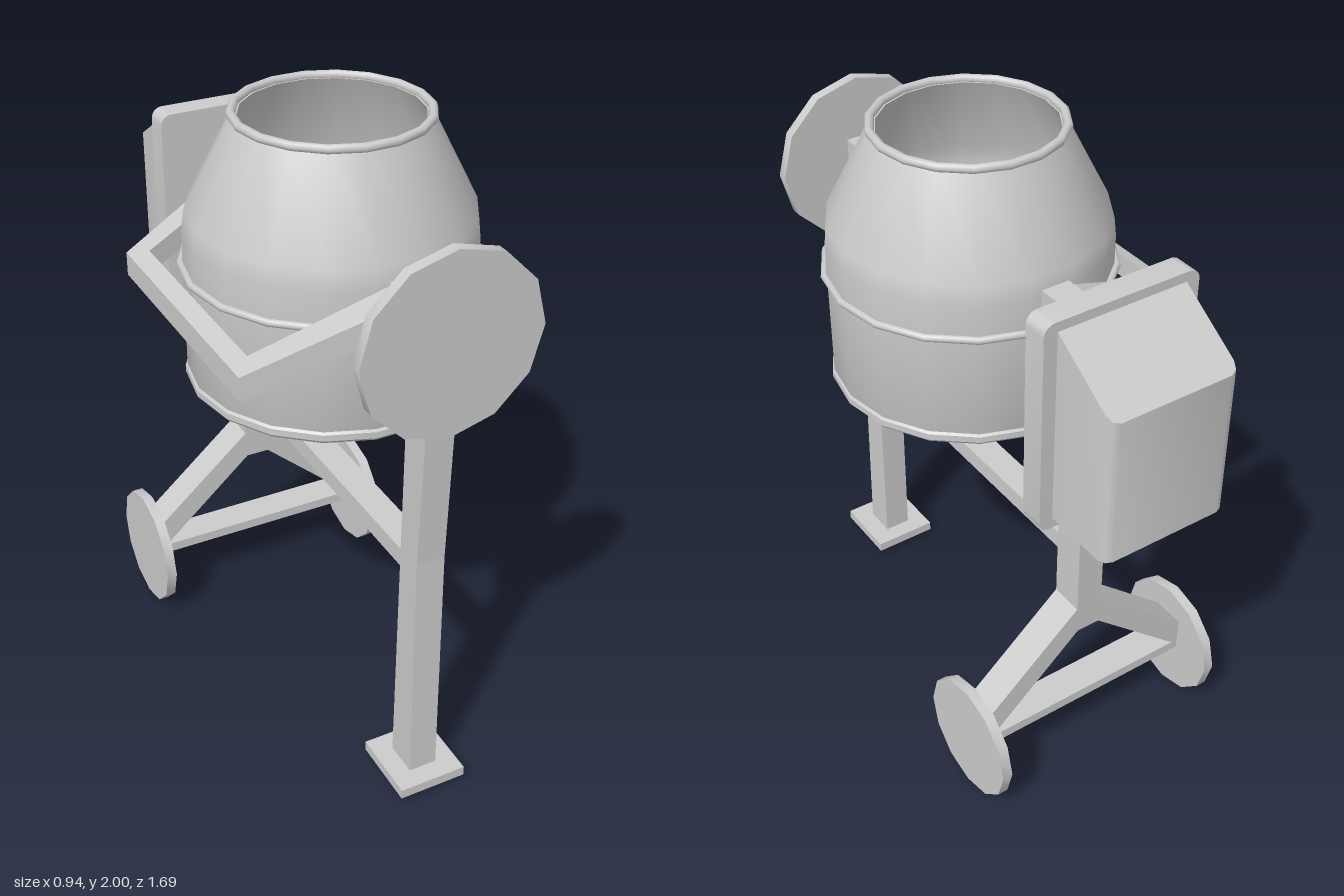
import * as THREE from 'three';
import { toCreasedNormals } from 'three/addons/utils/BufferGeometryUtils.js';

const CX = 0.01; // centre line of the frame

export function createModel() {
  const model = new THREE.Group();
  const material = new THREE.MeshStandardMaterial({ color: 0xcccccc });

  function add(name, geometry, x = 0, y = 0, z = 0) {
    const mesh = new THREE.Mesh(geometry, material);
    mesh.name = name;
    mesh.position.set(x, y, z);
    model.add(mesh);
    return mesh;
  }
  // Box given by its limits on each axis
  function box(name, x0, x1, y0, y1, z0, z1) {
    return add(name, new THREE.BoxGeometry(x1 - x0, y1 - y0, z1 - z0),
      (x0 + x1) / 2, (y0 + y1) / 2, (z0 + z1) / 2);
  }
  const points = (list) => list.map(([a, b]) => new THREE.Vector2(a, b));
  function extrude(list, depth, hole) {
    const shape = new THREE.Shape(points(list));
    if (hole) shape.holes.push(new THREE.Path(points(hole)));
    return new THREE.ExtrudeGeometry(shape, { depth, bevelEnabled: false });
  }
  // Move every vertex's y by a rule
  function moveY(geometry, rule) {
    const p = geometry.attributes.position;
    for (let i = 0; i < p.count; i++) p.setY(i, rule(p.getX(i), p.getY(i), p.getZ(i)));
    geometry.computeVertexNormals();
    return geometry;
  }

  // Hollow drum: outer wall up, over the lip, inner wall down to the floor
  const drumX = 0.015, drumZ = 0.123;
  const lathe = (list) => toCreasedNormals(
    new THREE.LatheGeometry(points(list), 18, Math.PI / 2), 0.6);
  add('drum', lathe([
    [0, 1.16], [0.425, 1.16], [0.435, 1.18], [0.435, 1.64], [0.428, 1.7],
    [0.285, 1.98], [0.268, 1.98], [0.41, 1.7], [0.415, 1.64], [0.415, 1.19], [0, 1.19],
  ]), drumX, 0, drumZ);
  add('drumBottomBand', lathe([
    [0.42, 1.16], [0.433, 1.16], [0.441, 1.17], [0.441, 1.19], [0.433, 1.2], [0.42, 1.2],
  ]), drumX, 0, drumZ);
  for (const [name, radius, tube, y] of [
    ['drumMiddleBand', 0.442, 0.012, 1.535], ['drumRim', 0.285, 0.014, 1.986]]) {
    const ring = new THREE.TorusGeometry(radius, tube, 8, 18);
    ring.rotateX(Math.PI / 2);
    add(name, ring, drumX, y, drumZ);
  }

  // Front leg, slightly waisted on its outer face, with foot plate
  const leg = extrude([
    [0.67, 0.05], [0.78, 0.05], [0.762, 0.85], [0.785, 1.66], [0.67, 1.66],
  ], 0.092);
  leg.rotateY(-Math.PI / 2);
  add('frontLeg', leg, CX + 0.046, 0, 0);
  box('footPlate', -0.1, 0.122, 0.02, 0.053, 0.61, 0.843);

  // Rear post, cross bar and drum arms
  const x0 = CX - 0.046, x1 = CX + 0.046;
  box('rearPost', x0, x1, 0.6, 1.66, -0.526, -0.415);
  box('crossBar', x0, x1, 0.785, 0.845, -0.415, 0.67);
  box('frontDrumArm', x0, x1, 1.585, 1.66, 0.555, 0.67);
  box('rearDrumArm', x0, x1, 1.585, 1.66, -0.415, -0.305);

  // A-shaped axle frame
  add('axleFrame', extrude(
    [[-0.046, 0.605], [-0.39, 0.305], [-0.39, 0.188], [0.39, 0.188], [0.39, 0.305], [0.046, 0.605]],
    0.111,
    [[-0.04, 0.51], [0.04, 0.51], [0.365, 0.222], [-0.365, 0.222]],
  ), CX, 0, -0.526);

  // Wheels
  for (const side of [-1, 1]) {
    const wheel = new THREE.CylinderGeometry(0.203, 0.203, 0.034, 12);
    wheel.rotateZ(Math.PI / 2);
    add(side > 0 ? 'leftWheel' : 'rightWheel', toCreasedNormals(wheel, 0.7),
      CX + side * 0.405, 0.203, -0.47);
  }

  // Tilting disc on the front leg
  const disc = new THREE.CylinderGeometry(0.28, 0.28, 0.036, 12);
  disc.rotateX(Math.PI / 2);
  add('tiltDisc', toCreasedNormals(disc, 0.7), CX, 1.585, 0.802);

  // Handle: a flat U around the drum, sheared so it hangs down to the side
  const handle = extrude([
    [-0.036, 0.66], [-0.472, 0.535], [-0.472, -0.29], [-0.036, -0.415],
    [-0.036, -0.315], [-0.42, -0.228], [-0.42, 0.475], [-0.036, 0.562],
  ], 0.075);
  handle.rotateX(Math.PI / 2);
  add('handle', moveY(handle, (x, y) => y + 1.652 + (x + 0.036) * 0.42));

  // Motor mounting plate with rounded corners
  const w = 0.257, h = 0.348, r = 0.035;
  const plate = new THREE.Shape();
  plate.absarc(w - r, h - r, r, 0, Math.PI / 2);
  plate.absarc(-w + r, h - r, r, Math.PI / 2, Math.PI);
  plate.absarc(-w + r, -h + r, r, Math.PI, Math.PI * 1.5);
  plate.absarc(w - r, -h + r, r, Math.PI * 1.5, Math.PI * 2);
  add('motorPlate', toCreasedNormals(new THREE.ExtrudeGeometry(plate,
    { depth: 0.08, bevelEnabled: false, curveSegments: 3 }), 0.7), CX, 1.437, -0.606);

  // Motor housing: rounded rear corners, top sloping down to the back
  const motor = extrude([
    [-0.213, -0.6], [-0.213, -0.815], [-0.204, -0.836], [-0.183, -0.845],
    [0.183, -0.845], [0.204, -0.836], [0.213, -0.815], [0.213, -0.6],
  ], 1);
  motor.rotateX(Math.PI / 2);
  moveY(motor, (x, y, z) => (y < -0.5 ? 1.125 : 1.755 + (z + 0.605) * 0.645));
  add('motorHousing', toCreasedNormals(motor, 0.8), CX, 0, 0);

  return model;
}
